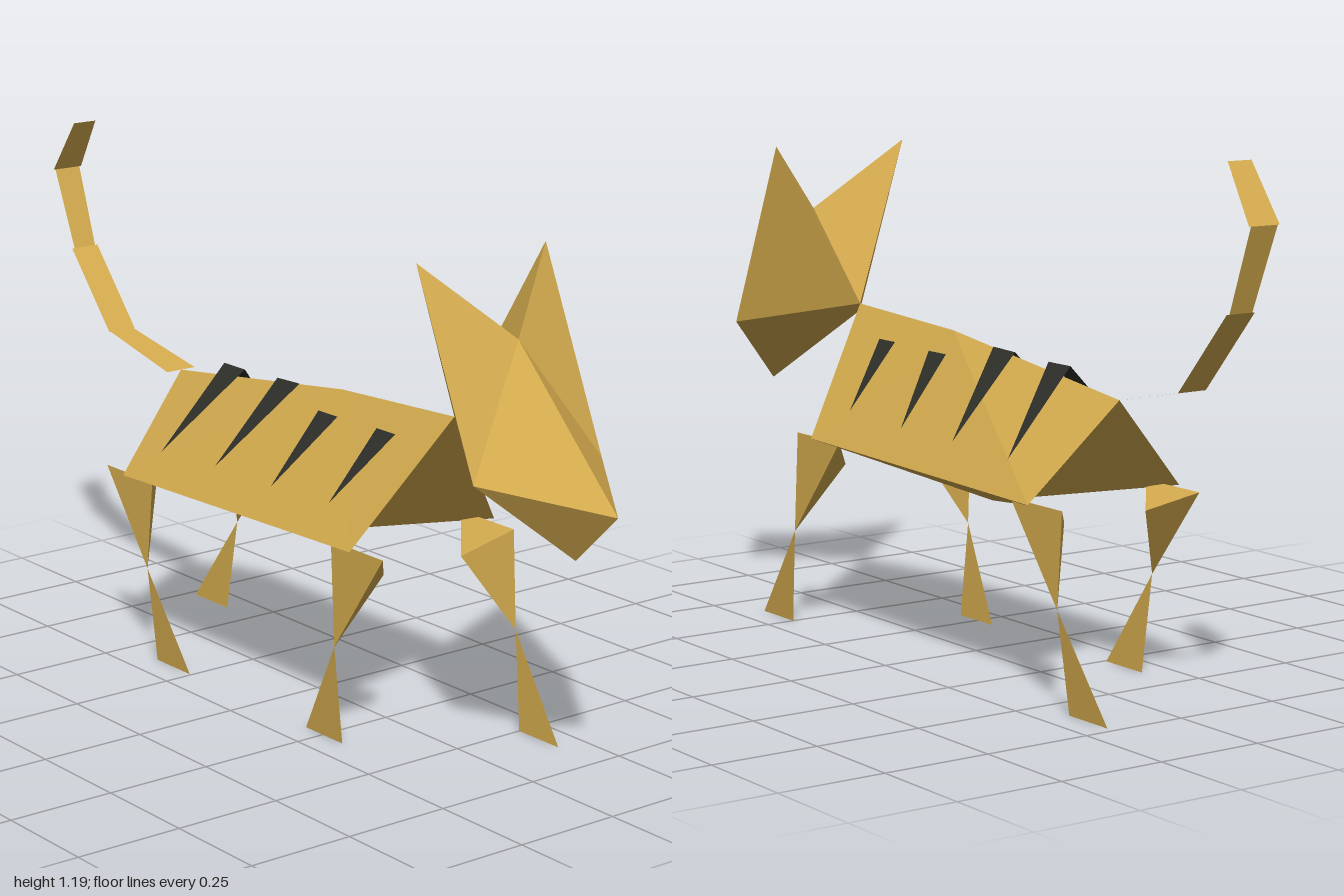
import * as THREE from 'three';

const coat = new THREE.MeshStandardMaterial({ color: 0xd4ab4e, flatShading: true });
coat.name = 'tan coat';
coat.side = THREE.DoubleSide;
const dark = new THREE.MeshStandardMaterial({ color: 0x2e2f29, flatShading: true });
dark.name = 'dark stripe';
dark.side = THREE.DoubleSide;

// Faceted mesh from named points; side -1 mirrors it across z = 0.
function facets(name, points, faces, material, side = 1) {
  const pos = [];
  for (const face of faces) {
    const corners = side > 0 ? [...face] : [...face].reverse();
    for (const key of corners) {
      const [x, y, z] = points[key];
      pos.push(x, y, z * side);
    }
  }
  const geometry = new THREE.BufferGeometry();
  geometry.setAttribute('position', new THREE.Float32BufferAttribute(pos, 3));
  geometry.computeVertexNormals();
  const mesh = new THREE.Mesh(geometry, material);
  mesh.name = name;
  return mesh;
}

// Half body: ridge R, S, T; flank corners A, C; belly B
const BODY = {
  R: [-0.53, 0.65, 0], S: [0.09, 0.73, 0], T: [0.477, 0.75, 0],
  A: [-0.48, 0.437, 0.205], C: [0.375, 0.46, 0.205], B: [-0.065, 0.36, 0],
};
const BODY_FACES = ['RAS', 'ACS', 'CTS', 'ABC', 'TCB', 'ARB'];

// Half head: neck N, ear tip E, cheek C, forehead F, nose O, jaw J
const HEAD = {
  N: [0.477, 0.75, 0], E: [0.56, 1.125, 0.178], C: [0.75, 0.69, 0.178],
  F: [0.68, 0.96, 0], O: [0.995, 0.647, 0], J: [0.87, 0.525, 0],
};
const HEAD_FACES = ['NCE', 'ECF', 'FCO', 'OCJ', 'CNJ', 'NEF'];

// Leg: solid thigh tapering to the knee, then a flat triangular shin
function leg(name, side, back, front, top, knee, heel, toe) {
  const group = new THREE.Group();
  group.name = name;
  const p = {
    A: [back, top, 0.185], D: [front, top, 0.185],
    K: [knee, 0.225, 0.195], I: [(back + front) / 2, 0.39, 0.11],
    H: [heel, 0, 0.18], T: [toe, 0, 0.18],
  };
  group.add(facets('thigh', p, ['AKD', 'KAI', 'DKI', 'ADI'], coat, side));
  group.add(facets('shin', p, ['KHT'], coat, side));
  return group;
}

// Stripe: short top edge and a long point hanging down the flank
const STRIPES = [
  { P: [-0.355, 0.702, 0], Q: [-0.275, 0.702, 0], V: [-0.365, 0.515, 0.175] },
  { P: [-0.15, 0.708, 0], Q: [-0.067, 0.711, 0], V: [-0.157, 0.525, 0.175] },
  { P: [0.058, 0.682, 0.043], Q: [0.127, 0.682, 0.043], V: [0.05, 0.525, 0.172] },
  { P: [0.265, 0.686, 0.043], Q: [0.33, 0.686, 0.043], V: [0.26, 0.537, 0.172] },
];

// Tail path in the x-y plane, with start and end half-widths per segment
const TAIL = [[-0.53, 0.65], [-0.775, 0.70], [-0.93, 0.88], [-1, 1.065], [-0.92, 1.19]];
const TAIL_WIDTHS = [[0.04, 0.033], [0.037, 0.037], [0.03, 0.035], [0.04, 0.031]];

export function createModel() {
  const model = new THREE.Group();
  model.name = 'cat';

  for (const side of [1, -1]) {
    const label = side > 0 ? 'near' : 'far';
    model.add(facets(label + 'Body', BODY, BODY_FACES, coat, side));
    model.add(facets(label + 'Head', HEAD, HEAD_FACES, coat, side));
    STRIPES.forEach((s, i) =>
      model.add(facets(`${label}Stripe${i + 1}`, s, ['PVQ'], dark, side)));
  }

  // Striding legs, the two sides out of step
  model.add(leg('nearHindLeg', 1, -0.575, -0.39, 0.437, -0.4, -0.385, -0.255));
  model.add(leg('nearForeLeg', 1, 0.285, 0.465, 0.46, 0.31, 0.19, 0.32));
  model.add(leg('farHindLeg', -1, -0.575, -0.39, 0.437, -0.573, -0.73, -0.597));
  model.add(leg('farForeLeg', -1, 0.285, 0.465, 0.46, 0.465, 0.5, 0.63));

  // Flat ribbon tail
  const tail = new THREE.Group();
  tail.name = 'tail';
  TAIL_WIDTHS.forEach(([w0, w1], i) => {
    const a = TAIL[i], b = TAIL[i + 1];
    const p = { A: [...a, w0], B: [...a, -w0], C: [...b, -w1], D: [...b, w1] };
    tail.add(facets('tailSegment', p, ['ABC', 'ACD'], coat));
  });
  model.add(tail);

  return model;
}
